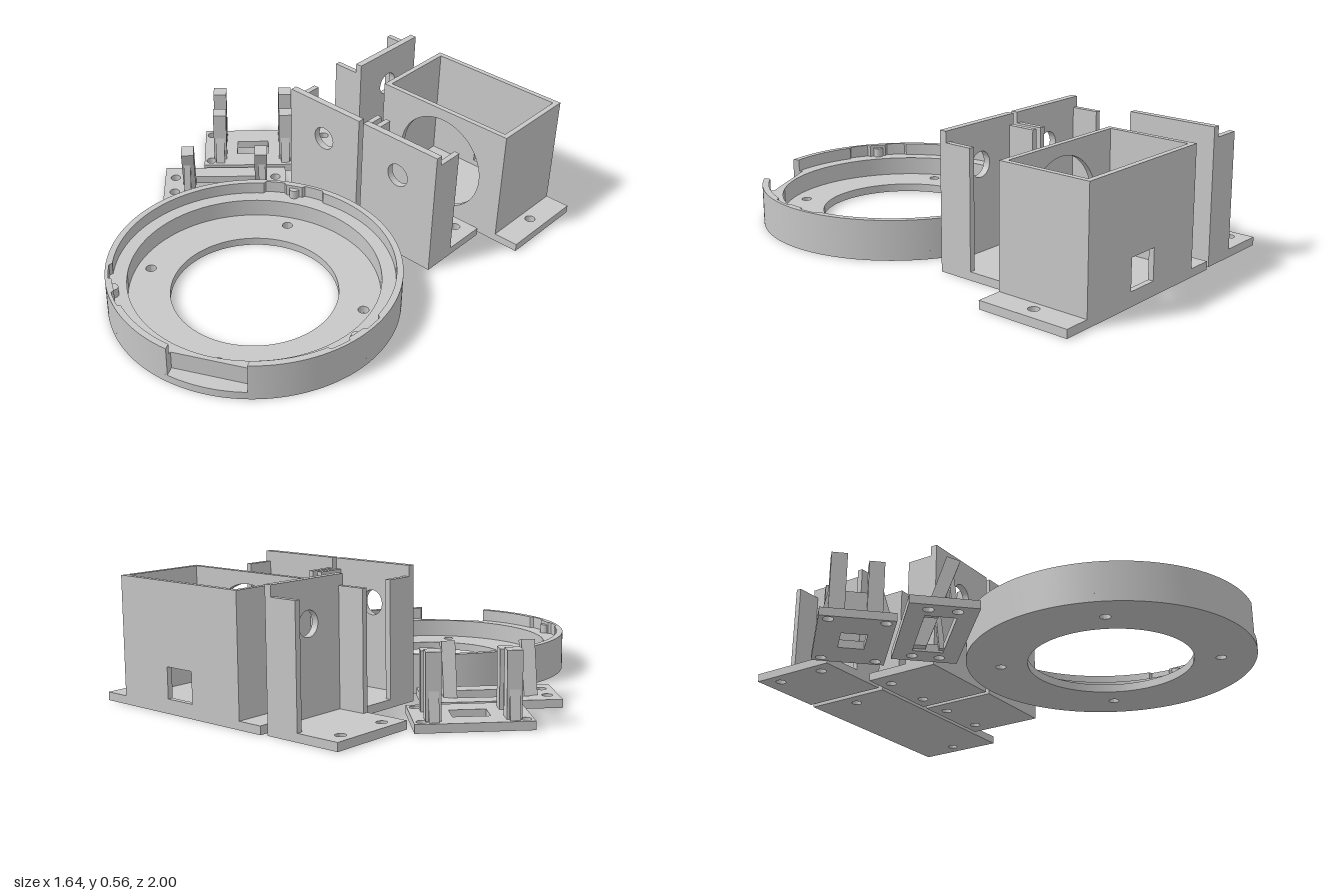
import * as THREE from 'three';
import { toCreasedNormals } from 'three/addons/utils/BufferGeometryUtils.js';

const grey = new THREE.MeshStandardMaterial({ color: 0xc7c7c7 });
grey.name = 'light grey plastic';

const BASE = 0.035; // thickness of every foot plate

function circle(x, y, r) {
  const p = new THREE.Path();
  p.absarc(x, y, r, 0, Math.PI * 2, true);
  return p;
}

function polygon(points, Type = THREE.Shape) {
  return new Type(points.map(p => new THREE.Vector2(...p)));
}

function rect(x0, y0, x1, y1, Type) {
  return polygon([[x0, y0], [x1, y0], [x1, y1], [x0, y1]], Type);
}

function extrude(shape, depth, curveSegments = 48) {
  return new THREE.ExtrudeGeometry(shape, { depth, bevelEnabled: false, curveSegments });
}

function add(parent, name, geometry, x = 0, y = 0, z = 0) {
  const mesh = new THREE.Mesh(geometry, grey);
  mesh.name = name;
  mesh.position.set(x, y, z);
  parent.add(mesh);
  return mesh;
}

// Shape drawn in (x, -z), laid flat and raised from y to y + height
function addFlat(parent, name, shape, y, height, segments) {
  const geo = extrude(shape, height, segments).rotateX(-Math.PI / 2);
  return add(parent, name, toCreasedNormals(geo, 0.4), 0, y, 0);
}

// Block given by its limits
function addBlock(parent, name, x0, x1, y0, y1, z0, z1) {
  add(parent, name, new THREE.BoxGeometry(x1 - x0, y1 - y0, z1 - z0),
    (x0 + x1) / 2, (y0 + y1) / 2, (z0 + z1) / 2);
}

function addPlate(parent, w, d, holes, cutout) {
  const shape = rect(-w / 2, -d / 2, w / 2, d / 2);
  holes.forEach(([x, z]) => shape.holes.push(circle(x, -z, 0.022)));
  if (cutout) shape.holes.push(rect(-cutout[0], -cutout[1], cutout[0], cutout[1], THREE.Path));
  addFlat(parent, 'footPlate', shape, 0, BASE, 24);
}

function part(root, name, x, z, turn = 0) {
  const g = new THREE.Group();
  g.name = name;
  g.position.set(x, 0, z);
  g.rotation.y = turn;
  root.add(g);
  return g;
}

// Round housing with stepped wall, flat notch and twist-lock recesses
function buildRing(root) {
  const g = part(root, 'ringHousing', 0.215, 0.395);
  const R = 0.605, LIP = 0.578, half = 0.16, notch = -63 * Math.PI / 180, lock = 3;
  const floor = new THREE.Shape();
  floor.absarc(0, 0, R, 0, Math.PI * 2);
  floor.holes.push(circle(0, 0, 0.347));
  [[-0.207, -0.413], [0.41, -0.21], [0.207, 0.407], [-0.413, 0.205]]
    .forEach(([x, z]) => floor.holes.push(circle(x, -z, 0.022)));
  addFlat(g, 'ringFloor', floor, 0, BASE, 120);

  const a = Math.asin(half / R), b = Math.asin(half / LIP);
  const ledge = new THREE.Shape();
  ledge.absarc(0, 0, R, a, Math.PI * 2 - a);
  ledge.lineTo(0.54, -half);
  ledge.lineTo(0.54, half);
  ledge.holes.push(circle(0, 0, 0.52));
  addFlat(g, 'ringLedge', ledge, BASE, 0.08, 120).rotation.y = notch;

  // Rim outline: outer arc, then inner arc back with a recess each side of a bump
  const points = [], n = 360;
  for (let i = 0; i <= n; i++) {
    const t = a + (2 * Math.PI - 2 * a) * i / n;
    points.push([R * Math.cos(t), R * Math.sin(t)]);
  }
  for (let i = n; i >= 0; i--) {
    const t = b + (2 * Math.PI - 2 * b) * i / n;
    const deg = -(t + notch) * 180 / Math.PI - lock;
    const fromBump = Math.abs(((deg + 780) % 120) - 60);
    const r = fromBump > 4.3 && fromBump < 13 ? 0.591 : LIP;
    points.push([r * Math.cos(t), r * Math.sin(t)]);
  }
  addFlat(g, 'ringRim', polygon(points), 0.115, 0.053).rotation.y = notch;

  // Small locking bumps
  for (let i = 0; i < 3; i++) {
    const t = (lock + 120 * i) * Math.PI / 180;
    add(g, 'lockBump', new THREE.CylinderGeometry(0.022, 0.022, 0.04, 20),
      0.577 * Math.cos(t), 0.135, 0.577 * Math.sin(t));
  }
}

// Upright wall with a round hole, two side ribs and a drilled foot
function buildBracket(root, name, x, z, turn) {
  const g = part(root, name, x, z, turn);
  const w = 0.39, d = 0.345;
  addPlate(g, w, d, [[-0.115, -0.115], [0.115, -0.115]]);
  const wall = rect(-w / 2, BASE, w / 2, 0.565);
  wall.holes.push(circle(0, 0.395, 0.052));
  add(g, 'bracketWall', toCreasedNormals(extrude(wall, 0.03), 0.4), 0, 0, d / 2 - 0.03);
  for (const x0 of [-w / 2, w / 2 - 0.024]) {
    addBlock(g, 'bracketRib', x0, x0 + 0.024, BASE, 0.52, d / 2 - 0.15, d / 2 - 0.03);
  }
}

// Open-topped box on a long foot, round window in front, square port behind
function buildBox(root) {
  const g = part(root, 'boxHousing', 0.38, -0.8);
  const w = 0.329, d = 0.2, t = 0.023, top = 0.53;
  addPlate(g, 0.88, 0.4, [[-0.374, 0], [0.374, 0]]);
  const front = rect(-w, BASE, w, top);
  front.holes.push(circle(0, 0.265, 0.215));
  add(g, 'boxFront', toCreasedNormals(extrude(front, t), 0.4), 0, 0, d - t);
  const back = rect(-w, BASE, w, top);
  back.holes.push(rect(-0.07, 0.06, 0.07, 0.19, THREE.Path));
  add(g, 'boxBack', extrude(back, t), 0, 0, -d);
  for (const x0 of [-w, w - t]) {
    addBlock(g, 'boxSide', x0, x0 + t, BASE, top, -d + t, d - t);
  }
}

// Diagonal plate with four posts joined in pairs by a low bar
function buildPostHolder(root) {
  const g = part(root, 'postHolder', -0.55, -0.363, -Math.PI / 4);
  const holes = [];
  for (const u of [-1, 1]) for (const v of [-1, 1]) holes.push([u * 0.113, v * 0.198]);
  addPlate(g, 0.304, 0.46, holes, [0.053, 0.074]);
  const tallFoot = polygon([[-0.138, BASE], [-0.115, BASE], [-0.115, 0.15]]);
  const shortFoot = polygon([[0.1, BASE], [0.135, BASE], [0.1, 0.15]]);
  for (const s of [-1, 1]) {
    const z = s * 0.154;
    addBlock(g, 'tallPost', -0.115, -0.05, BASE, 0.3, z - 0.03, z + 0.03);
    addBlock(g, 'shortPost', 0.037, 0.1, BASE, 0.275, z - 0.03, z + 0.03);
    addBlock(g, 'lowBar', -0.05, 0.037, BASE, 0.14, z - 0.015, z + 0.015);
    add(g, 'tallPostFoot', extrude(tallFoot, 0.04), 0, 0, z - 0.02);
    add(g, 'shortPostFoot', extrude(shortFoot, 0.04), 0, 0, z - 0.02);
  }
}

// Diagonal slotted plate with two leaning, braced posts
function buildLeaningHolder(root) {
  const g = part(root, 'leaningHolder', -0.421, -0.052, -Math.PI / 4);
  const holes = [];
  for (const u of [-1, 1]) for (const v of [-1, 1]) holes.push([u * 0.057, v * 0.232]);
  addPlate(g, 0.275, 0.56, holes, [0.063, 0.175]);
  const post = polygon([[-0.063, 0.01], [-0.01, 0.01], [0.07, 0.24], [0.015, 0.255]]);
  const brace = polygon([[0.045, 0.01], [0.07, 0.01], [0.045, 0.18], [0.03, 0.14]]);
  for (const s of [-1, 1]) {
    add(g, 'leaningPost', extrude(post, 0.056), 0, 0, s * 0.165 - 0.028);
    add(g, 'postBrace', extrude(brace, 0.03), 0, 0, s * 0.17 - 0.015);
  }
}

export function createModel() {
  const root = new THREE.Group();
  root.name = 'printedPartsSet';
  buildRing(root);
  buildBox(root);
  buildBracket(root, 'frontBracketRight', 0.0195, -0.4075, 0);
  buildBracket(root, 'frontBracketLeft', 0.433, -0.4075, 0);
  buildBracket(root, 'rearBracket', -0.2605, -0.795, Math.PI / 2);
  buildPostHolder(root);
  buildLeaningHolder(root);
  return root;
}
